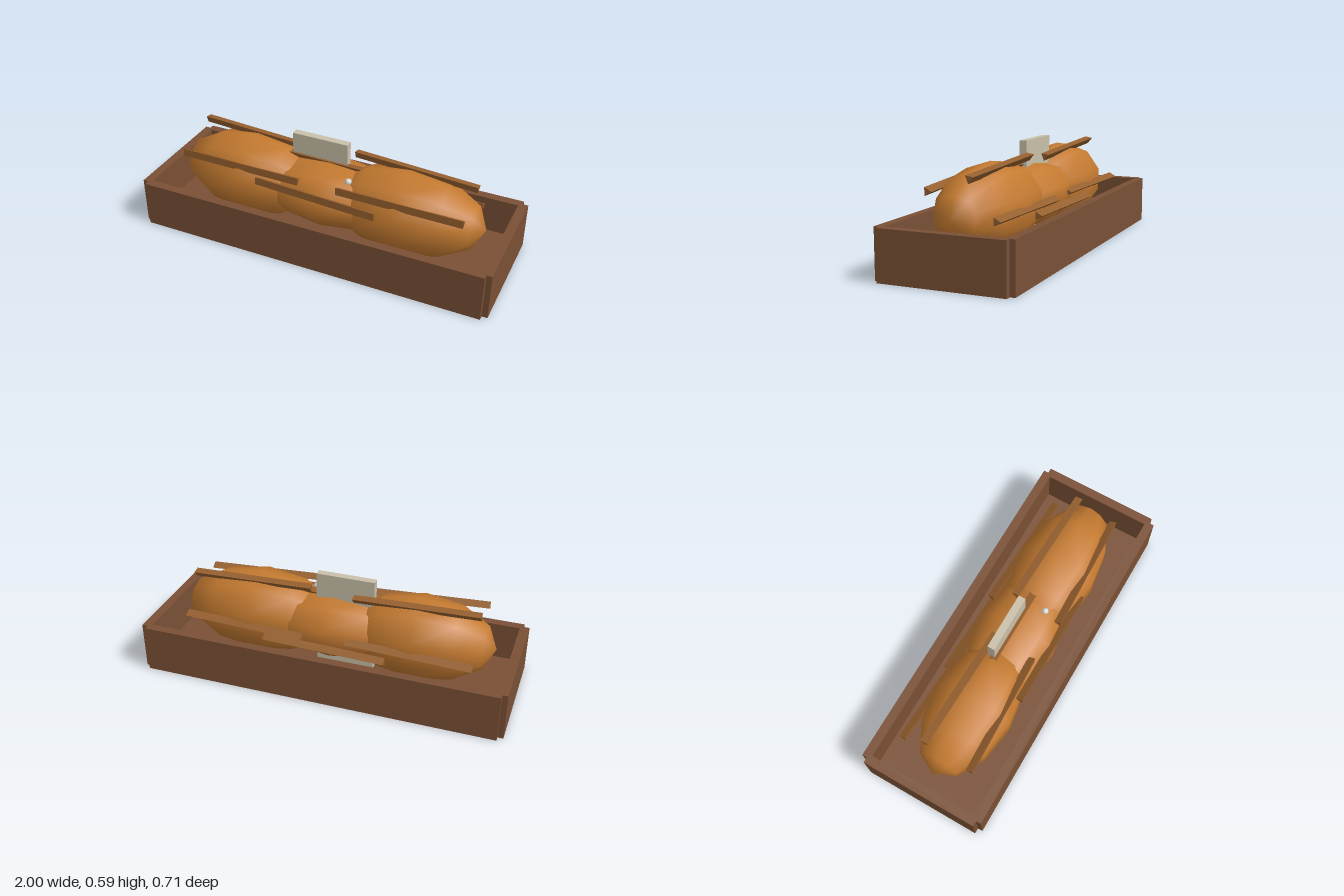
import * as THREE from 'three';

export function createModel() {
  const model = new THREE.Group();
  const mat = (name, color, flatShading = false) => {
    const m = new THREE.MeshStandardMaterial({ color, flatShading });
    m.name = name;
    return m;
  };
  const wood = mat('box wood', 0x7a5035);
  const orange = mat('orange body', 0xc47a30);
  const bark = mat('batten brown', 0x96602f, true);
  const cream = mat('cream plate', 0xc9c0a9);
  const pearl = mat('pale bead', 0xd3dadb);

  const add = (name, geometry, material, x, y, z, parent = model) => {
    const mesh = new THREE.Mesh(geometry, material);
    mesh.name = name;
    mesh.position.set(x, y, z);
    parent.add(mesh);
    return mesh;
  };

  // Open box: floor, two long walls and two end walls that stand proud at the corners
  const box = new THREE.Group();
  box.name = 'openBox';
  model.add(box);
  add('floor', new THREE.BoxGeometry(1.92, 0.05, 0.64), wood, 0, 0.028, 0, box);
  for (const s of [-1, 1]) {
    add('longWall', new THREE.BoxGeometry(1.94, 0.26, 0.049), wood, 0, 0.13, s * 0.333, box);
    add('endWall', new THREE.BoxGeometry(0.05, 0.26, 0.66), wood, s * 0.975, 0.13, 0, box);
  }

  // Three overlapping ellipsoids lying along the box: [x, half length, half height]
  for (const [x, rx, ry] of [[-0.465, 0.41, 0.23], [0, 0.41, 0.18], [0.435, 0.437, 0.23]]) {
    const g = new THREE.SphereGeometry(1, 10, 6);
    g.rotateZ(Math.PI / 2);
    g.scale(rx, ry, 0.227);
    add('bodyLobe', g, orange, x, 0.288, 0.018);
  }

  // Three-sided battens with one edge facing backwards
  const batten = (name, x, y, z, dropY, dropZ, roll) => {
    const length = 0.68;
    const g = new THREE.CylinderGeometry(0.025, 0.025, length, 3);
    g.rotateZ(Math.PI / 2);
    g.rotateX(Math.PI + roll);
    const mesh = add(name, g, bark, x, y, z);
    mesh.rotation.set(0, dropZ / length, -dropY / length);
  };
  for (const s of [-1, 1]) {
    batten('frontBatten', s * 0.455, 0.418, 0.187, 0.023, 0.025, 0);
    batten('topBatten', s * 0.455, 0.495, -0.053, 0.03, -0.013, 0.35);
    batten('backBatten', s * 0.455, 0.29, -0.197, 0, -0.03, 0);
  }
  batten('frontMiddleBatten', 0, 0.365, 0.224, 0.04, 0.005, 0);
  batten('topMiddleBatten', 0, 0.455, 0.008, 0.01, 0, 0.35);
  batten('backMiddleBatten', 0, 0.24, -0.21, 0, -0.025, 0);

  // Upright plate reaching down through the floor
  add('uprightPlate', new THREE.BoxGeometry(0.32, 0.586, 0.04), cream, -0.065, 0.293, -0.01);

  // Small bead resting on the body
  add('bead', new THREE.SphereGeometry(0.018, 12, 8), pearl, 0.143, 0.432, 0.105);

  return model;
}
